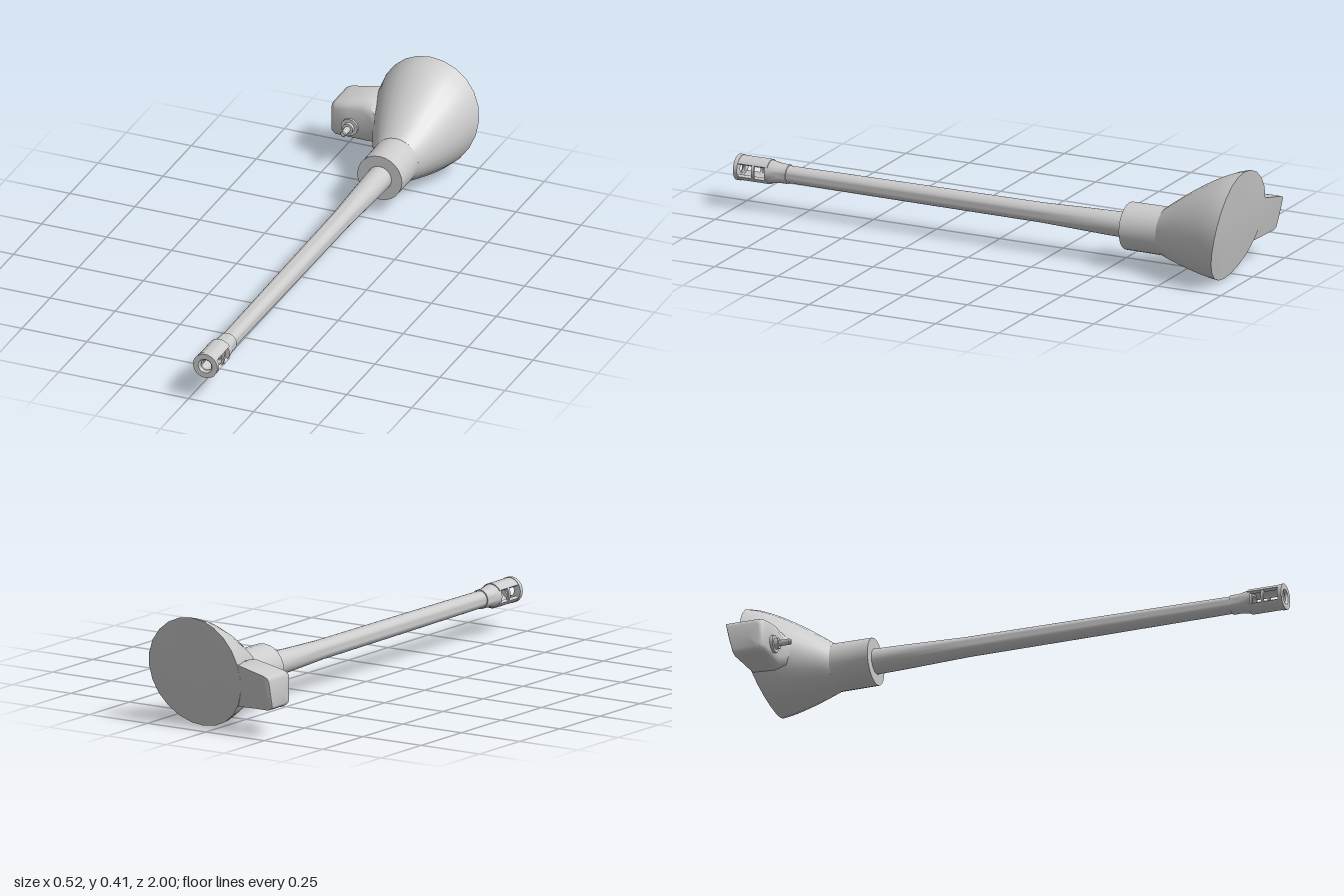
import * as THREE from 'three';
import { toCreasedNormals } from 'three/addons/utils/BufferGeometryUtils.js';

const AX = 0.064, AY = 0.143; // barrel axis

// Skin between cross-section rings (counter-clockwise about the loft direction), capped at both ends
function loft(rings, crease) {
  const n = rings[0].length, pos = [];
  const tri = (...pts) => pts.forEach((p) => pos.push(p.x, p.y, p.z));
  for (let i = 0; i < rings.length - 1; i++) {
    for (let j = 0; j < n; j++) {
      const k = (j + 1) % n, a = rings[i], b = rings[i + 1];
      tri(a[j], a[k], b[k]);
      tri(a[j], b[k], b[j]);
    }
  }
  const mid = (r) => r.reduce((s, p) => s.add(p), new THREE.Vector3()).divideScalar(n);
  const first = rings[0], last = rings[rings.length - 1], m0 = mid(first), m1 = mid(last);
  for (let j = 0; j < n; j++) {
    const k = (j + 1) % n;
    tri(m0, first[k], first[j]);
    tri(m1, last[j], last[k]);
  }
  const g = new THREE.BufferGeometry();
  g.setAttribute('position', new THREE.Float32BufferAttribute(pos, 3));
  return toCreasedNormals(g, crease);
}

// Turned part along z from [radius, z] pairs, listed back to front
function turned(profile, segments = 24) {
  const g = new THREE.LatheGeometry(profile.map(([r, z]) => new THREE.Vector2(r, z)), segments);
  return toCreasedNormals(g.rotateX(Math.PI / 2), 0.6);
}

// Slanted, slightly bowed rear face
const backZ = (y) => -1 + 0.08 * Math.pow(1 - THREE.MathUtils.clamp(y / 0.405, 0, 1), 1.8);

export function createModel() {
  const model = new THREE.Group();
  const metal = new THREE.MeshStandardMaterial({ color: 0xcccccc });
  metal.name = 'light grey metal';
  const add = (name, geometry, x = 0, y = 0) => {
    const mesh = new THREE.Mesh(geometry, metal);
    mesh.name = name;
    mesh.position.set(x, y, 0);
    model.add(mesh);
    return mesh;
  };

  // Flared mount: slanted oval rim narrowing to a round neck
  const flare = [];
  for (let i = 0; i <= 8; i++) {
    const t = 1 - i / 8, e = 1 - Math.pow(1 - t, 1.35);
    const ring = [];
    for (let j = 0; j < 24; j++) {
      const a = (j / 24) * Math.PI * 2, c = Math.cos(a), s = Math.sin(a);
      const rimY = 0.203 + 0.203 * s;
      ring.push(new THREE.Vector3(
        AX + c * THREE.MathUtils.lerp(0.087, 0.195, e),
        THREE.MathUtils.lerp(AY + 0.087 * s, rimY, e),
        THREE.MathUtils.lerp(-0.69, backZ(rimY), t)));
    }
    flare.push(ring);
  }
  add('flaredMount', loft(flare, 0.7));
  add('collar', turned([[0, -0.72], [0.087, -0.7], [0.086, -0.545], [0, -0.545]]), AX, AY);

  // Side pod blending into the flare: [x, bottom, top, front z, chamfer, back offset]
  const pod = [
    [-0.26, 0.118, 0.208, -0.868, 0.012, -0.008],
    [-0.256, 0.108, 0.222, -0.855, 0.016, -0.01],
    [-0.24, 0.1, 0.23, -0.845, 0.022, -0.01],
    [-0.19, 0.1, 0.241, -0.842, 0.024, -0.006],
    [-0.13, 0.097, 0.254, -0.84, 0.03, 0],
    [-0.1, 0.095, 0.252, -0.832, 0.045, 0.006],
    [-0.07, 0.102, 0.235, -0.808, 0.055, 0.012],
    [-0.04, 0.12, 0.215, -0.765, 0.045, 0.02],
    [0.0, 0.13, 0.2, -0.74, 0.03, 0.03],
  ].map(([x, y0, y1, zf, c, dz]) => [
    [y1, zf - c], [y1 - 0.3 * c, zf - 0.3 * c], [y1 - c, zf],
    [y0 + c, zf], [y0 + 0.3 * c, zf - 0.3 * c], [y0, zf - c],
    [y0, backZ(y0) + dz], [(y0 + y1) / 2, backZ((y0 + y1) / 2) + dz], [y1, backZ(y1) + dz],
  ].map(([y, z]) => new THREE.Vector3(x, y, z)));
  add('sidePod', loft(pod, 1));

  // Stepped stud on the front of the pod
  add('podStud', turned([
    [0.032, -0.86], [0.032, -0.832], [0.02, -0.832], [0.02, -0.818],
    [0.011, -0.818], [0.011, -0.778], [0.008, -0.774], [0, -0.774],
  ], 16), -0.178, 0.154);

  // Barrel with a gentle taper and a shallow bore
  add('barrel', turned([
    [0.046, -0.56], [0.044, -0.45], [0.036, -0.2], [0.034, 0.3], [0.031, 0.81],
    [0.027, 0.81], [0.027, 0.885], [0.019, 0.885], [0.017, 0.86], [0, 0.86],
  ]), AX, AY);

  // Muzzle device: flared sleeve, upper and lower walls, dividing ring, front ring
  add('muzzleSleeve', turned([
    [0.03, 0.8], [0.035, 0.8], [0.035, 0.83], [0.042, 0.87],
    [0.042, 0.88], [0.027, 0.88],
  ]), AX, AY);
  const a = 0.56;
  const wall = new THREE.Shape();
  wall.absarc(0, 0, 0.045, a, Math.PI - a, false);
  wall.absarc(0, 0, 0.033, Math.PI - a, a, true);
  const wallGeometry = new THREE.ExtrudeGeometry(wall, { depth: 0.118, bevelEnabled: false, curveSegments: 10 });
  wallGeometry.translate(0, 0, 0.87);
  const wallSmooth = toCreasedNormals(wallGeometry, 0.6);
  add('upperMuzzleWall', wallSmooth, AX, AY);
  add('lowerMuzzleWall', wallSmooth, AX, AY).rotation.z = Math.PI;
  add('muzzleDivider', turned([
    [0.034, 0.921], [0.042, 0.921], [0.042, 0.931], [0.034, 0.931], [0.034, 0.921],
  ]), AX, AY);
  add('muzzleFrontRing', turned([
    [0.02, 0.985], [0.047, 0.985], [0.047, 1], [0.027, 1], [0.02, 0.992], [0.02, 0.985],
  ]), AX, AY);

  return model;
}
